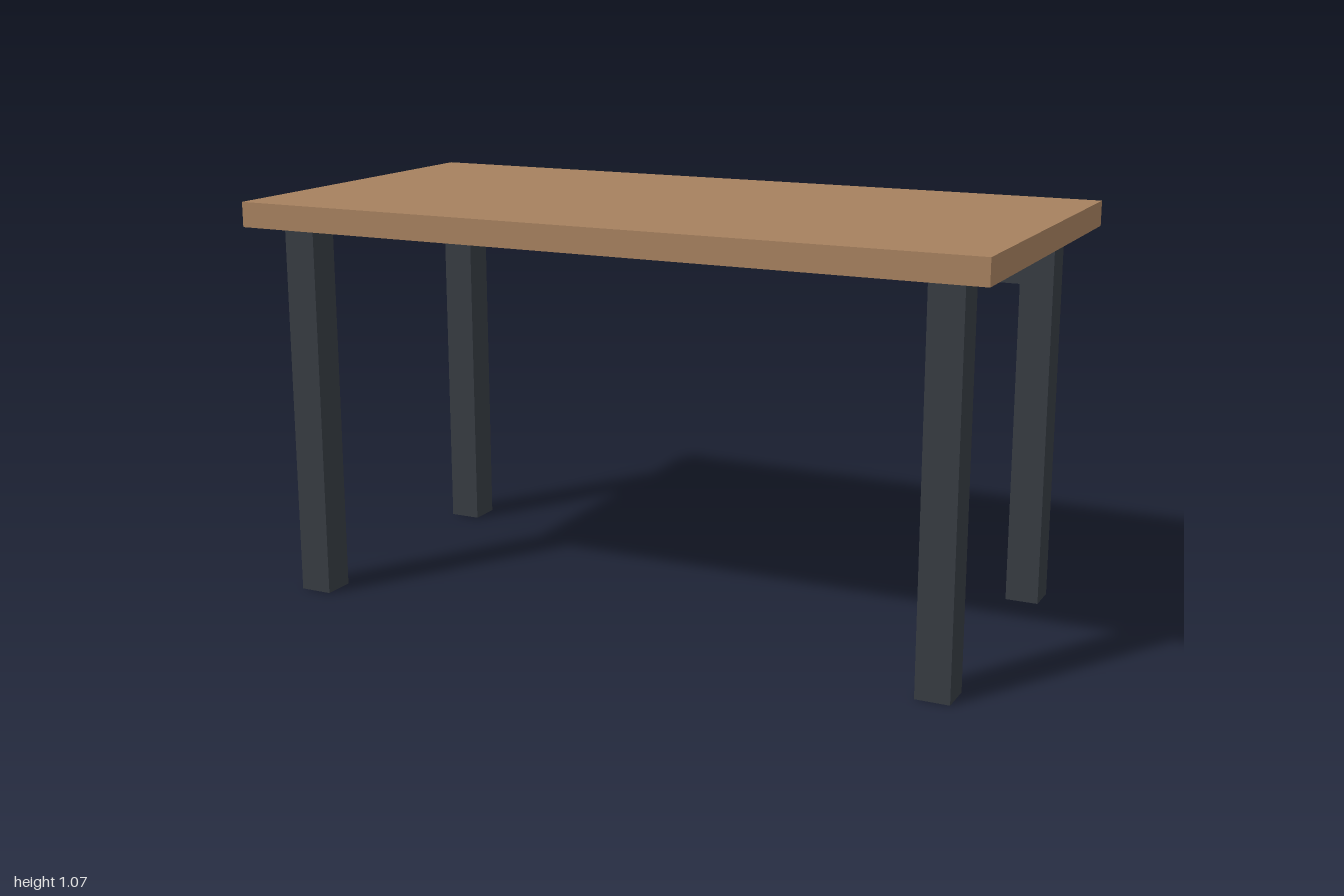
import * as THREE from 'three';

export function createModel() {
  const group = new THREE.Group();
  const wood = new THREE.MeshStandardMaterial({ name: 'wood', color: 0xa5805e });
  const metal = new THREE.MeshStandardMaterial({ name: 'dark metal', color: 0x363b42 });

  const box = (name, material, [w, h, d], [x, y, z]) => {
    const mesh = new THREE.Mesh(new THREE.BoxGeometry(w, h, d), material);
    mesh.name = name;
    mesh.position.set(x, y, z);
    group.add(mesh);
  };

  // Tabletop, floating just clear of the legs
  box('tabletop', wood, [2, 0.066, 1], [0, 1.038, 0]);

  // Four square legs
  const legX = 0.88, legZ = 0.381, legSize = 0.088;
  for (const [side, sx] of [['Left', 1], ['Right', -1]]) {
    for (const [end, sz] of [['front', 1], ['back', -1]]) {
      box(`${end}${side}Leg`, metal, [legSize, 1, legSize], [sx * legX, 0.5, sz * legZ]);
    }
  }

  // Single rail joining the back legs, set in from their faces
  box('backRail', metal, [2 * legX - legSize, 0.088, 0.05], [0, 0.905, -legZ]);

  return group;
}
